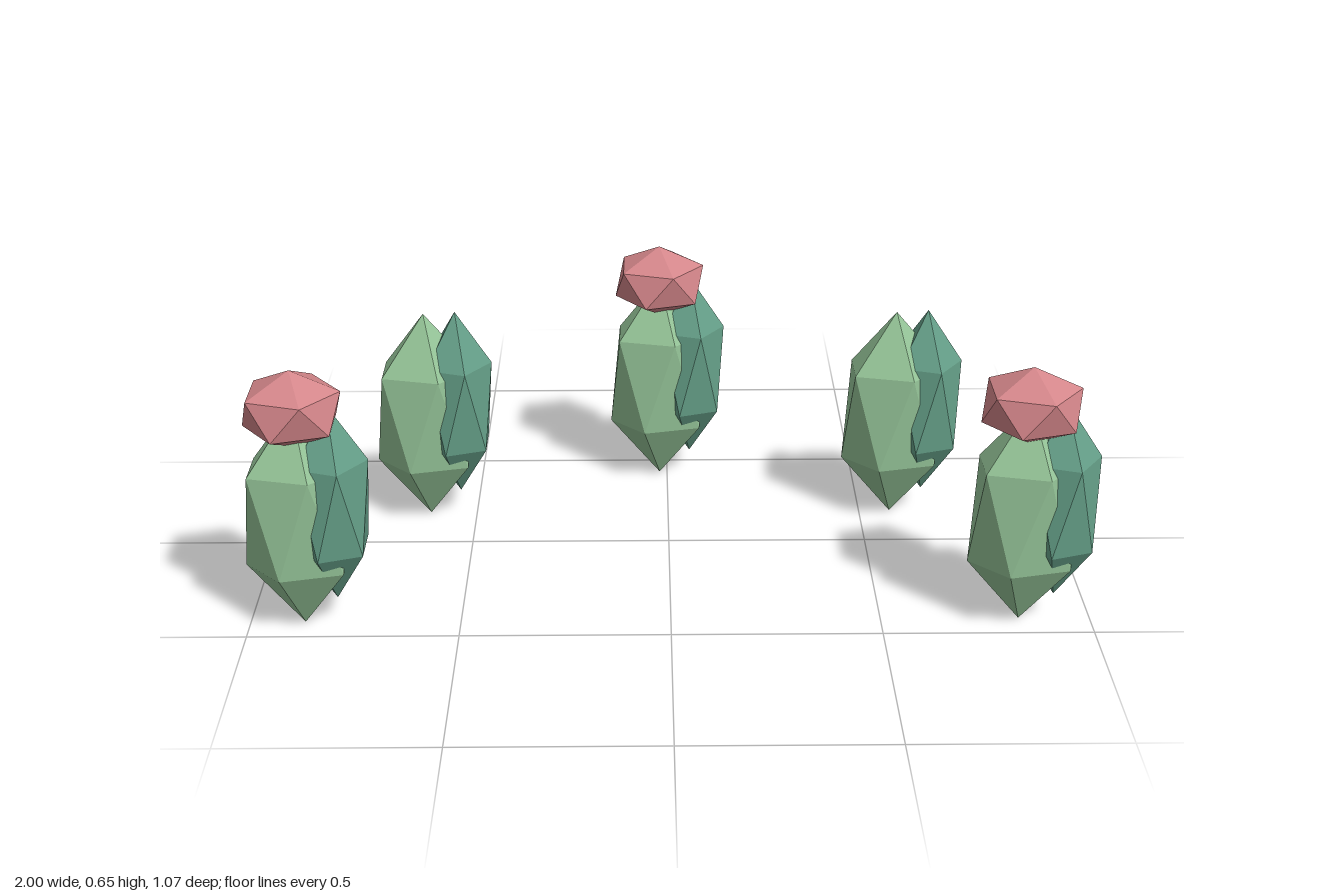
import * as THREE from 'three';

export function createModel() {
  const model = new THREE.Group();
  model.name = 'cactusGroup';

  const paint = (name, color) => {
    const m = new THREE.MeshStandardMaterial({ color });
    m.name = name;
    return m;
  };
  const lightGreen = paint('lightGreen', 0x94c397);
  const darkGreen = paint('darkGreen', 0x659f88);
  const pink = paint('pink', 0xd4868a);

  // Faceted gem standing on a point, with one upper corner facing +x
  const gem = new THREE.IcosahedronGeometry(1, 0);
  gem.rotateZ(-Math.atan(2 / (1 + Math.sqrt(5))));
  const RING = 2 / Math.sqrt(5); // radius of the five-corner rings on the unit gem

  // rx and rz are ring radii, bottom and top are the heights of the two points
  function addGem(parent, name, material, x, rx, rz, bottom, top) {
    const mesh = new THREE.Mesh(gem, material);
    mesh.name = name;
    mesh.position.set(x, (bottom + top) / 2, 0);
    mesh.scale.set(rx / RING, (top - bottom) / 2, rz / RING);
    parent.add(mesh);
  }

  function addCactus(x, z, hasFlower) {
    const cactus = new THREE.Group();
    cactus.name = hasFlower ? 'floweringCactus' : 'plainCactus';
    cactus.position.set(x, 0, z);
    addGem(cactus, 'mainStem', lightGreen, 0, 0.13, 0.1, 0, 0.555);
    addGem(cactus, 'sideStem', darkGreen, 0.08, 0.09, 0.1, 0.065, 0.56);
    if (hasFlower) addGem(cactus, 'flower', pink, 0, 0.115, 0.114, 0.458, 0.646);
    model.add(cactus);
  }

  // Arc of five plants: flowers at the ends and the middle
  const centre = -0.02;
  addCactus(centre, -0.425, true);
  for (const side of [-1, 1]) {
    addCactus(centre + side * 0.6, -0.175, false);
    addCactus(centre + side * 0.85, 0.425, true);
  }

  return model;
}
